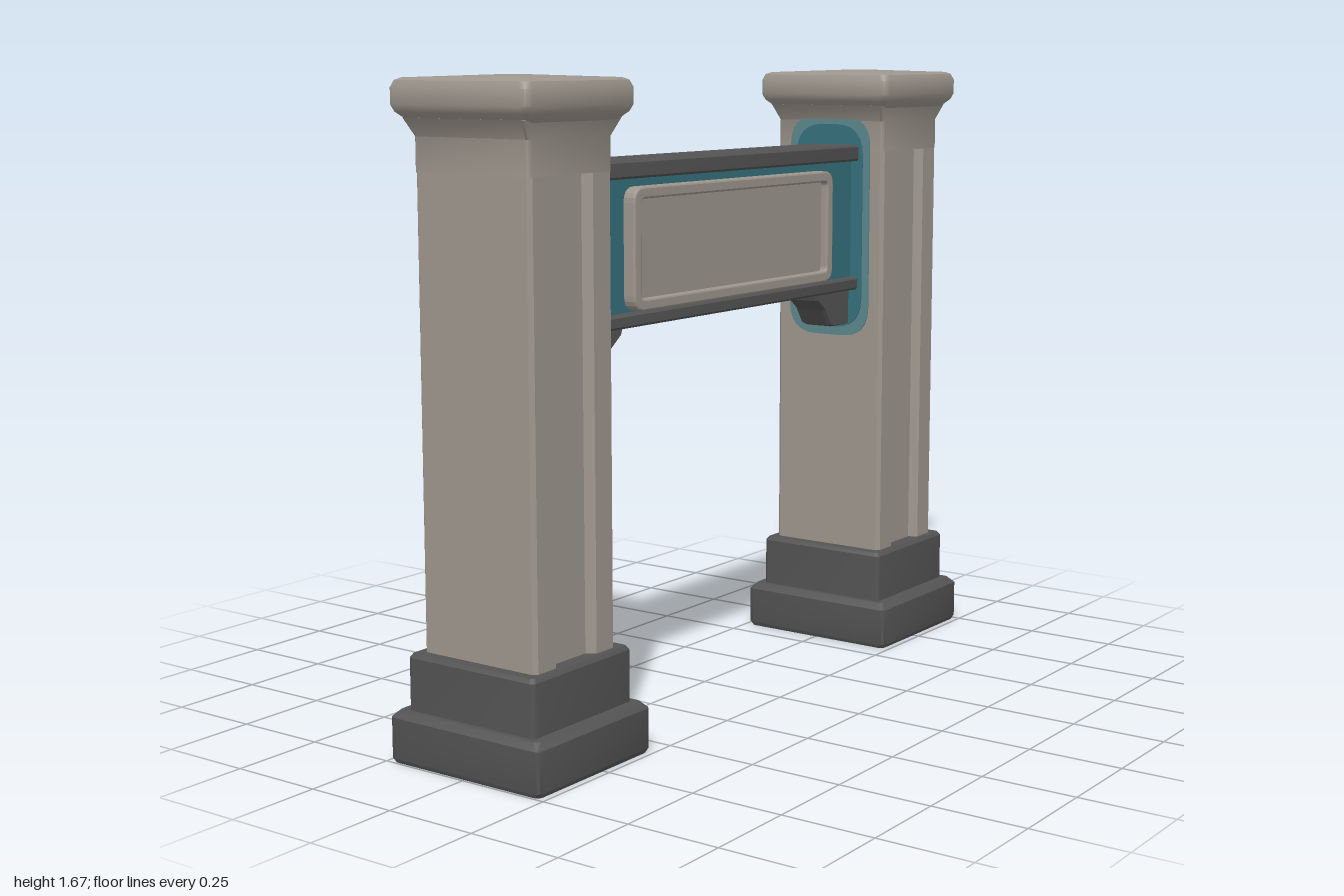
import * as THREE from 'three';
import { toCreasedNormals } from 'three/addons/utils/BufferGeometryUtils.js';

const mat = (name, color, side = THREE.FrontSide) => {
  const m = new THREE.MeshStandardMaterial({ color, side });
  m.name = name;
  return m;
};

function roundedRect(w, h, r, Type = THREE.Shape) {
  const s = new Type(), x = w / 2, y = h / 2;
  s.moveTo(-x + r, -y);
  s.lineTo(x - r, -y).quadraticCurveTo(x, -y, x, -y + r);
  s.lineTo(x, y - r).quadraticCurveTo(x, y, x - r, y);
  s.lineTo(-x + r, y).quadraticCurveTo(-x, y, -x, y - r);
  s.lineTo(-x, -y + r).quadraticCurveTo(-x, -y, -x + r, -y);
  return s;
}

// Stacks rounded rectangles [y, halfX, halfZ] into a closed solid
function loft(levels, r) {
  const pos = [], index = [], n = 16;
  for (const [y, hx, hz] of levels) {
    for (let i = 0; i < n; i++) {
      const q = Math.floor(i / 4), a = (q + (i % 4) / 3) * Math.PI / 2;
      const sx = q === 0 || q === 3 ? 1 : -1, sz = q < 2 ? 1 : -1;
      pos.push(sx * (hx - r) + r * Math.cos(a), y, sz * (hz - r) + r * Math.sin(a));
    }
  }
  for (let l = 0; l < levels.length - 1; l++) {
    for (let i = 0; i < n; i++) {
      const a = l * n + i, b = l * n + (i + 1) % n;
      index.push(a, a + n, b, b, a + n, b + n);
    }
  }
  const top = (levels.length - 1) * n;
  for (let i = 1; i < n - 1; i++) {
    index.push(0, i, i + 1, top, top + i + 1, top + i);
  }
  const g = new THREE.BufferGeometry();
  g.setAttribute('position', new THREE.Float32BufferAttribute(pos, 3));
  g.setIndex(index);
  return toCreasedNormals(g, 0.6);
}

// Shaft section with recesses in both x sides and, if asked, in the back
function shaftSection(hx, hz, backPanel) {
  const d = 0.024, w = 0.078, e = 0.014, c = 0.01;
  const pts = [[-hx + c, -hz], [hx - c, -hz], [hx, -hz + c],
    [hx, -w], [hx - d, -w + e], [hx - d, w - e], [hx, w], [hx, hz - c], [hx - c, hz]];
  if (backPanel) pts.push([0.135, hz], [0.12, hz - d], [-0.12, hz - d], [-0.135, hz]);
  pts.push([-hx + c, hz], [-hx, hz - c], [-hx, w], [-hx + d, w - e],
    [-hx + d, -w + e], [-hx, -w], [-hx, -hz + c]);
  return new THREE.Shape(pts.map(p => new THREE.Vector2(...p)));
}

export function createModel() {
  const model = new THREE.Group();
  model.name = 'gateway';
  const stone = mat('warm stone', 0x9d968d);
  const dark = mat('dark stone', 0x555454);
  const teal = mat('teal', 0x35707c);
  const paleTeal = mat('pale teal', 0x5b868c);

  const add = (parent, name, geo, material, x = 0, y = 0, z = 0) => {
    const m = new THREE.Mesh(geo, material);
    m.name = name;
    m.position.set(x, y, z);
    parent.add(m);
    return m;
  };

  // Two pillars
  const hx = 0.178, hz = 0.153;
  for (const side of [1, -1]) {
    const pillar = new THREE.Group();
    pillar.name = side > 0 ? 'frontPillar' : 'backPillar';
    pillar.position.z = side * 0.782;
    model.add(pillar);

    add(pillar, 'plinth', loft([[0, 0.232, 0.212], [0.012, 0.238, 0.218],
      [0.115, 0.238, 0.218], [0.132, 0.222, 0.202]], 0.016), dark);
    add(pillar, 'plinthStep', loft([[0.12, 0.2, 0.188], [0.265, 0.2, 0.188],
      [0.275, 0.193, 0.181]], 0.012), dark);

    const shaft = new THREE.ExtrudeGeometry(shaftSection(hx, hz, side < 0),
      { depth: 1.18, bevelEnabled: false });
    shaft.rotateX(-Math.PI / 2);
    add(pillar, 'shaft', shaft, stone, 0, 0.265, 0);
    add(pillar, 'shaftHead', loft([[1.445, hx, hz], [1.53, hx, hz],
      [1.575, hx + 0.012, hz + 0.03]], 0.01), stone);
    add(pillar, 'cap', loft([[1.565, 0.185, 0.17], [1.588, 0.208, 0.196], [1.605, 0.215, 0.203],
      [1.645, 0.215, 0.203], [1.662, 0.208, 0.196], [1.668, 0.196, 0.184],
      [1.675, 0.03, 0.03]], 0.02), stone);

    // Painted patch where the beam meets the pillar
    const patch = (name, w, h, depth, material) => add(pillar, name,
      new THREE.ExtrudeGeometry(roundedRect(w, h, 0.09),
        { depth, bevelEnabled: false, curveSegments: 6 }),
      material, 0, 1.225, -side * hz - (side > 0 ? depth : 0));
    patch('patchRim', 0.27, 0.64, 0.003, paleTeal);
    patch('patch', 0.225, 0.59, 0.006, teal);

    // Bracket under the beam
    const profile = new THREE.Shape([[0.64, 1.05], [0.45, 1.05], [0.46, 1.025], [0.5, 0.995],
      [0.53, 0.95], [0.545, 0.945], [0.64, 0.945]].map(([z, y]) => new THREE.Vector2(-side * z, y)));
    const bracket = new THREE.ExtrudeGeometry(profile,
      { depth: 0.08, bevelEnabled: true, bevelSize: 0.004, bevelThickness: 0.01, bevelSegments: 1 });
    bracket.translate(0, 0, -0.04).rotateY(Math.PI / 2);
    add(model, 'bracket', bracket, dark, 0.02, 0, 0);
  }

  // Beam between the pillars
  const beam = new THREE.Group();
  beam.name = 'beam';
  beam.position.x = 0.02;
  model.add(beam);
  const rail = (name, y, h) => {
    const g = loft([[-h / 2, 0.074, 0.64], [-h / 2 + 0.006, 0.08, 0.64],
      [h / 2 - 0.006, 0.08, 0.64], [h / 2, 0.074, 0.64]], 0.004);
    add(beam, name, g, dark, 0, y, 0);
  };
  rail('topRail', 1.439, 0.046);
  rail('bottomRail', 1.062, 0.036);
  add(beam, 'beamCore', new THREE.BoxGeometry(0.11, 0.35, 1.27), teal, 0, 1.248, 0);

  // Framed panel on each side of the beam
  for (const side of [1, -1]) {
    const frameShape = roundedRect(0.916, 0.302, 0.035);
    frameShape.holes.push(roundedRect(0.876, 0.262, 0.02, THREE.Path));
    const frame = new THREE.ExtrudeGeometry(frameShape, { depth: 0.034, bevelEnabled: true,
      bevelSize: 0.005, bevelThickness: 0.006, bevelSegments: 2, curveSegments: 5 });
    frame.rotateY(side * Math.PI / 2);
    add(beam, 'panelFrame', frame, stone, side * 0.05, 1.239, -0.01);
    add(beam, 'panel', new THREE.BoxGeometry(0.02, 0.28, 0.89), stone, side * 0.058, 1.239, -0.01);
  }
  return model;
}
